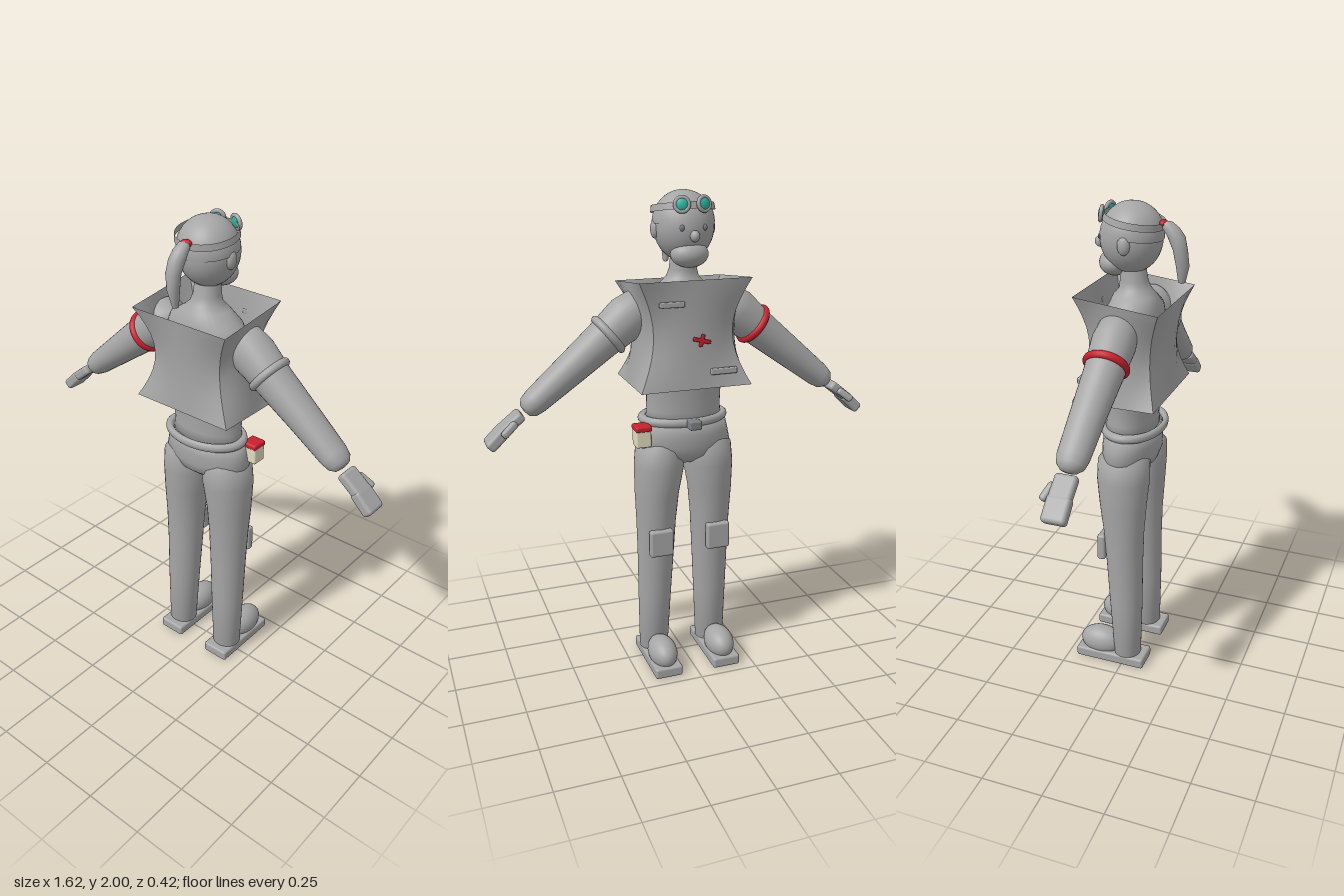
import * as THREE from 'three';
import { toCreasedNormals } from 'three/addons/utils/BufferGeometryUtils.js';
import { RoundedBoxGeometry } from 'three/addons/geometries/RoundedBoxGeometry.js';

const flat = (name, color) => Object.assign(new THREE.MeshStandardMaterial({ color }), { name });

// Surface through closed rings; ringPoint(row, angle) returns [x, y, z], rows run upward
function skin(rows, sides, ringPoint) {
  const pos = [], index = [];
  for (let i = 0; i < rows; i++) {
    for (let j = 0; j < sides; j++) pos.push(...ringPoint(i, (j / sides) * Math.PI * 2));
  }
  for (let i = 0; i < rows - 1; i++) {
    for (let j = 0; j < sides; j++) {
      const a = i * sides + j, b = i * sides + ((j + 1) % sides);
      index.push(a, a + sides, b, b, a + sides, b + sides);
    }
  }
  const g = new THREE.BufferGeometry();
  g.setAttribute('position', new THREE.Float32BufferAttribute(pos, 3));
  g.setIndex(index);
  g.computeVertexNormals();
  return g;
}

// Elliptic rings given as [y, centreX, radiusX, centreZ, radiusZ]
const loft = (rings) => skin(rings.length, 32, (i, a) => {
  const [y, cx, rx, cz, rz] = rings[i];
  return [cx + rx * Math.cos(a), y, cz + rz * Math.sin(a)];
});

export function createModel() {
  const grey = flat('grey', 0xa6a6a6);
  const darkGrey = flat('darkGrey', 0x7c8084);
  const red = flat('red', 0xc8202f);
  const cream = flat('cream', 0xe2dbc0);
  const teal = flat('teal', 0x2bb5a0);
  const sheet = flat('vestGrey', 0xa6a6a6);
  sheet.side = THREE.DoubleSide;

  const model = new THREE.Group();
  model.name = 'figure';
  const add = (name, geo, mat, p = [0, 0, 0], parent = model) => {
    const m = new THREE.Mesh(geo, mat);
    m.name = name;
    m.position.set(...p);
    parent.add(m);
    return m;
  };
  const ball = (name, mat, p, s, parent) => {
    const m = add(name, new THREE.SphereGeometry(1, 32, 20), mat, p, parent);
    m.scale.set(...s);
    return m;
  };
  const box = (name, mat, p, s, r = 0.01, parent = model) =>
    add(name, new RoundedBoxGeometry(s[0], s[1], s[2], 3, r), mat, p, parent);

  // Torso with shoulders and neck
  add('torso', loft([
    [1.07, 0, 0, -0.01, 0], [1.07, 0, 0.165, -0.01, 0.105], [1.14, 0, 0.155, -0.01, 0.1],
    [1.25, 0, 0.158, -0.012, 0.108], [1.4, 0, 0.185, -0.01, 0.12], [1.53, 0, 0.19, -0.005, 0.118],
    [1.6, 0, 0.16, 0, 0.105], [1.645, 0, 0.09, 0, 0.085], [1.67, 0, 0.065, 0, 0.063],
    [1.7, 0, 0.055, -0.005, 0.055], [1.76, 0, 0.05, -0.01, 0.05],
  ]), grey);

  // Trousers: pelvis and two legs
  add('pelvis', loft([
    [0.9, 0, 0, -0.01, 0], [0.915, 0, 0.07, -0.01, 0.06], [0.95, 0, 0.17, -0.01, 0.1],
    [0.99, 0, 0.2, -0.01, 0.113], [1.04, 0, 0.19, -0.01, 0.112], [1.1, 0, 0.176, -0.008, 0.107],
    [1.1, 0, 0, -0.01, 0],
  ]), grey);
  for (const s of [1, -1]) {
    const side = s > 0 ? 'left' : 'right';
    add(side + 'Leg', loft([
      [0.05, 0.13, 0, 0.012, 0], [0.05, 0.13, 0.062, 0.012, 0.058], [0.3, 0.126, 0.07, 0.005, 0.07],
      [0.5, 0.122, 0.077, -0.002, 0.077], [0.65, 0.12, 0.083, -0.006, 0.085],
      [0.78, 0.117, 0.092, -0.01, 0.098], [0.9, 0.107, 0.104, -0.012, 0.11],
      [0.98, 0.105, 0.098, -0.01, 0.108], [1.04, 0.09, 0.06, -0.01, 0.07], [1.04, 0.09, 0, -0.01, 0],
    ].map(([y, cx, ...r]) => [y, cx * s, ...r])), grey);
    box(side + 'KneePad', grey, [s * 0.125, 0.58, -0.092], [0.1, 0.115, 0.035]);
    box(side + 'Sole', grey, [s * 0.13, 0.027, -0.055], [0.12, 0.046, 0.31]);
    ball(side + 'Shoe', grey, [s * 0.13, 0.078, -0.11], [0.06, 0.065, 0.095]);
  }

  // Belt, buckle and hip pouch
  const belt = add('belt', new THREE.TorusGeometry(1, 0.11, 12, 48), grey, [0, 1.1, 0]);
  belt.rotation.x = Math.PI / 2;
  belt.scale.set(0.17, 0.117, 0.165);
  box('buckle', darkGrey, [0, 1.1, -0.145], [0.05, 0.036, 0.045], 0.006);
  box('pouch', cream, [0.195, 1.045, -0.065], [0.062, 0.075, 0.062], 0.006);
  box('pouchLid', red, [0.195, 1.085, -0.065], [0.068, 0.024, 0.07], 0.008);

  // Vest: square at both hems, drawn in to an oval at the middle
  const rows = 11;
  const vest = skin(rows, 32, (i, a) => {
    const t = i / (rows - 1), pinch = Math.sin(Math.PI * t);
    const c = Math.cos(a), s = Math.sin(a), q = 1 / Math.max(Math.abs(c), Math.abs(s));
    const k = THREE.MathUtils.lerp(q, 1, 0.75 * pinch);
    const z = THREE.MathUtils.lerp(-0.012, 0.002, t) + s * k * (0.168 - 0.01 * pinch);
    return [c * k * (0.228 - 0.02 * pinch), THREE.MathUtils.lerp(1.255, 1.658 - 0.12 * z, t), z];
  });
  add('vest', toCreasedNormals(vest, 0.6), sheet);
  box('upperPocket', grey, [0.1, 1.59, -0.166], [0.1, 0.022, 0.016], 0.005);
  box('lowerPocket', grey, [-0.11, 1.32, -0.176], [0.11, 0.025, 0.016], 0.005);
  // Small chest badge
  box('badgeBar', red, [-0.02, 1.445, -0.17], [0.075, 0.016, 0.009], 0.004).rotation.z = 0.25;
  box('badgePost', red, [-0.02, 1.445, -0.17], [0.016, 0.05, 0.009], 0.004).rotation.z = 0.25;

  // Arms: local -y runs from shoulder to hand
  for (const s of [1, -1]) {
    const side = s > 0 ? 'left' : 'right';
    const arm = new THREE.Group();
    arm.name = side + 'Arm';
    arm.position.set(s * 0.19, 1.55, 0);
    arm.rotation.z = s * 0.9;
    model.add(arm);
    add(side + 'Sleeve', loft([
      [-0.59, 0, 0, -0.008, 0], [-0.585, 0, 0.028, -0.008, 0.034], [-0.565, 0, 0.045, -0.008, 0.054],
      [-0.53, 0, 0.052, -0.008, 0.062], [-0.35, 0, 0.064, -0.005, 0.068], [-0.18, 0, 0.075, 0, 0.076],
      [-0.05, 0, 0.09, 0, 0.085], [0.03, 0, 0.075, 0, 0.075], [0.06, 0, 0, 0, 0],
    ]), grey, [0, 0, 0], arm);
    const band = add(side + 'ArmBand', new THREE.TorusGeometry(0.075, 0.016, 12, 40),
      s > 0 ? grey : red, [0, -0.148, 0], arm);
    band.rotation.x = Math.PI / 2;
    // Hand: palm, fingers and thumb
    box(side + 'Palm', grey, [0, -0.655, -0.005], [0.04, 0.105, 0.088], 0.014, arm);
    const fingers = box(side + 'Fingers', grey, [s * -0.006, -0.735, -0.005], [0.045, 0.1, 0.094], 0.014, arm);
    fingers.rotation.z = s * -0.1;
    const thumb = box(side + 'Thumb', grey, [0, -0.675, -0.058], [0.03, 0.075, 0.03], 0.012, arm);
    thumb.rotation.x = 0.3;
  }

  // Head
  ball('skull', grey, [0, 1.865, -0.015], [0.118, 0.135, 0.122]);
  ball('jaw', grey, [0, 1.765, -0.08], [0.075, 0.052, 0.062]);
  ball('nose', grey, [0, 1.838, -0.142], [0.018, 0.022, 0.022]);
  for (const s of [1, -1]) {
    ball('ear', grey, [s * 0.113, 1.855, -0.005], [0.018, 0.036, 0.025]);
    ball('eye', darkGrey, [s * 0.045, 1.868, -0.126], [0.01, 0.012, 0.006]);
  }
  // Swept-back hair shell
  const hair = add('hair', new THREE.SphereGeometry(1, 32, 16, 0, Math.PI * 2, 0, Math.PI / 2), sheet, [0, 1.875, -0.01]);
  hair.scale.set(0.122, 0.125, 0.121);
  hair.rotation.x = 0.12;

  // Goggles on a tilted strap
  const goggles = new THREE.Group();
  goggles.name = 'goggles';
  goggles.position.set(0, 1.932, -0.003);
  goggles.rotation.x = 0.16;
  model.add(goggles);
  const strap = add('goggleStrap', new THREE.CylinderGeometry(0.122, 0.126, 0.026, 40, 1, true), sheet, [0, 0, 0], goggles);
  strap.scale.z = 0.95;
  for (const s of [1, -1]) {
    const eyepiece = new THREE.Group();
    eyepiece.name = 'eyepiece';
    eyepiece.position.set(s * 0.044, 0.003, -0.118);
    eyepiece.rotation.y = Math.PI - s * 0.3;
    goggles.add(eyepiece);
    add('goggleRim', new THREE.TorusGeometry(0.026, 0.008, 10, 28), grey, [0, 0, 0], eyepiece);
    ball('lens', teal, [0, 0, 0], [0.025, 0.025, 0.012], eyepiece);
  }

  // Ponytail and its tie
  ball('hairTie', red, [0, 1.925, 0.112], [0.024, 0.014, 0.016]);
  add('ponytail', loft([
    [1.7, 0.008, 0, 0.182, 0], [1.705, 0.008, 0.01, 0.184, 0.014], [1.77, 0.002, 0.022, 0.188, 0.026],
    [1.83, -0.004, 0.03, 0.18, 0.028], [1.88, 0, 0.032, 0.162, 0.034], [1.91, 0, 0.028, 0.14, 0.034],
    [1.93, 0, 0.02, 0.125, 0.022], [1.935, 0, 0, 0.12, 0],
  ]), grey);

  return model;
}
